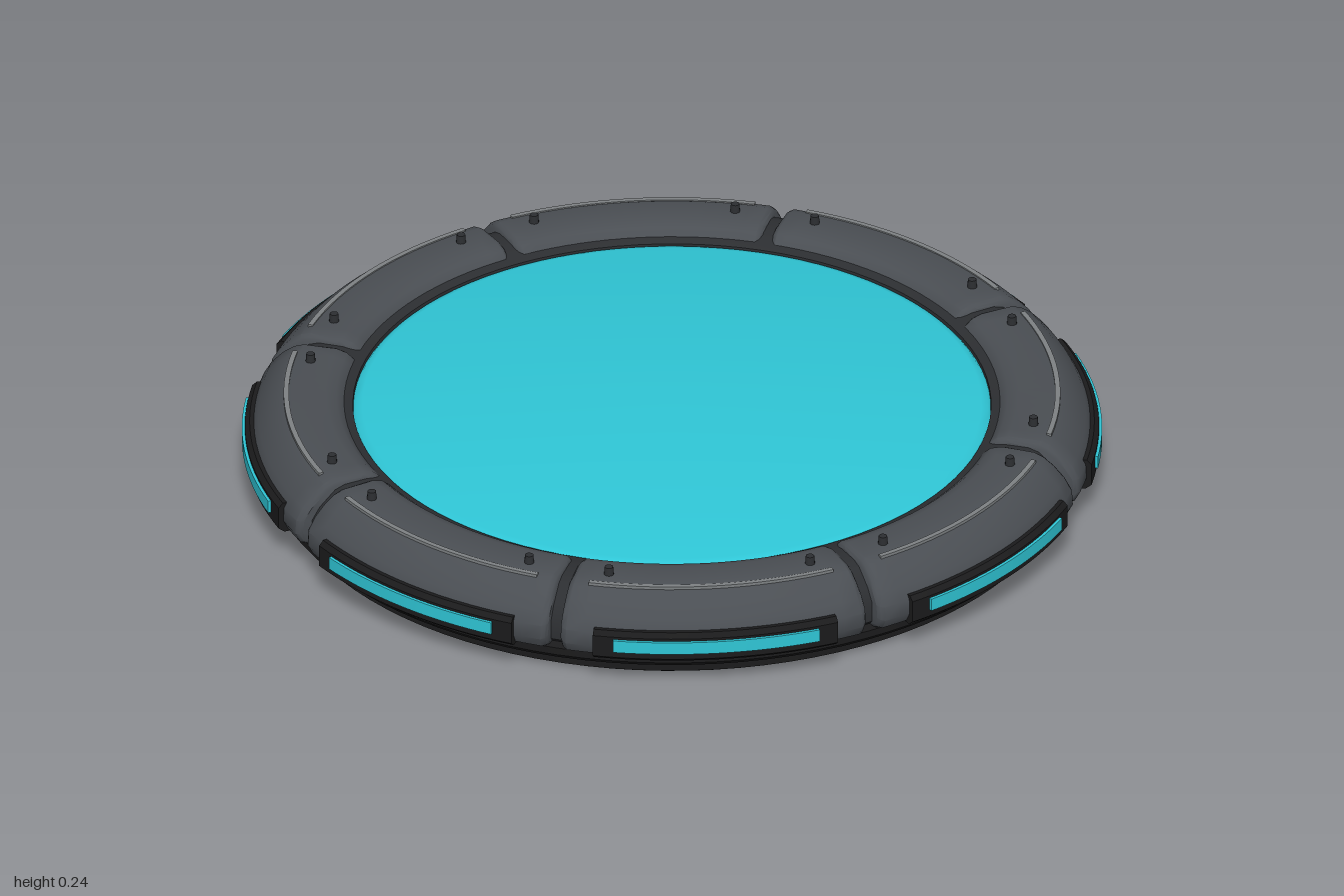
import * as THREE from 'three';
import { toCreasedNormals } from 'three/addons/utils/BufferGeometryUtils.js';

const mat = (name, color) => {
  const m = new THREE.MeshStandardMaterial({ color });
  m.name = name;
  return m;
};
const deg = THREE.MathUtils.degToRad;

// Sweeps a convex counterclockwise (radius, height) profile around y.
// Each station is [angle in degrees, inset towards the profile centre].
function sweep(profile, stations) {
  const n = profile.length, pos = [], idx = [];
  const cr = profile.reduce((s, p) => s + p[0], 0) / n;
  const cy = profile.reduce((s, p) => s + p[1], 0) / n;
  for (const [a, inset] of stations) {
    for (const [r, y] of profile) {
      const d = Math.hypot(r - cr, y - cy), k = 1 - inset / d;
      const rr = cr + (r - cr) * k;
      pos.push(rr * Math.sin(deg(a)), cy + (y - cy) * k, rr * Math.cos(deg(a)));
    }
  }
  const last = (stations.length - 1) * n;
  for (let s = 0; s < last; s += n) {
    for (let i = 0; i < n; i++) {
      const j = (i + 1) % n;
      idx.push(s + i, s + n + i, s + n + j, s + i, s + n + j, s + j);
    }
  }
  for (let i = 1; i < n - 1; i++) {
    idx.push(0, i, i + 1, last, last + i + 1, last + i);
  }
  const g = new THREE.BufferGeometry();
  g.setAttribute('position', new THREE.Float32BufferAttribute(pos, 3));
  g.setIndex(idx);
  return toCreasedNormals(g, deg(35));
}

// Evenly spaced stations across an arc of +-half degrees
const arc = (half, steps = 16) =>
  Array.from({ length: steps + 1 }, (_, i) => [-half + (2 * half * i) / steps, 0]);
const box = (r0, r1, y0, y1) => [[r0, y0], [r1, y0], [r1, y1], [r0, y1]];

const lathe = (pts) =>
  toCreasedNormals(new THREE.LatheGeometry(pts.map((p) => new THREE.Vector2(...p)), 96), deg(35));

export function createModel() {
  const root = new THREE.Group();
  root.name = 'roundPad';
  const black = mat('black base', 0x1b1b1c);
  const core = mat('dark core', 0x2c2e31);
  const grey = mat('grey armour', 0x4a4e53);
  const trim = mat('light grey trim', 0x7d8183);
  const cyan = mat('cyan glow', 0x2fc6d6);

  const add = (parent, name, geometry, material) => {
    const m = new THREE.Mesh(geometry, material);
    m.name = name;
    parent.add(m);
    return m;
  };

  // Stepped base, core ring seen in the gaps, and the glowing floor
  add(root, 'base', lathe([
    [0, 0], [0.905, 0], [0.915, 0.006], [0.915, 0.028], [0.94, 0.036],
    [0.948, 0.046], [0.948, 0.064], [0.935, 0.075], [0.7, 0.075],
  ]), black);
  add(root, 'coreRing', lathe([
    [0.93, 0.07], [0.945, 0.085], [0.945, 0.135], [0.925, 0.165], [0.885, 0.2],
    [0.86, 0.208], [0.8, 0.208], [0.765, 0.2], [0.742, 0.192], [0.738, 0.15],
  ]), core);
  add(root, 'floorDisc', lathe([
    [0.742, 0.16], [0.742, 0.182], [0.735, 0.19], [0.72, 0.194], [0, 0.194],
  ]), cyan);

  // Shared shapes for the eight ring segments
  const segmentGeo = sweep([
    [0.765, 0.07], [0.945, 0.064], [0.968, 0.075], [0.981, 0.1], [0.979, 0.135],
    [0.962, 0.165], [0.935, 0.195], [0.908, 0.215], [0.885, 0.223], [0.805, 0.223],
    [0.78, 0.215], [0.763, 0.2], [0.755, 0.18],
  ], [[-21.6, 0.014], [-21.3, 0.006], ...arc(20.7), [21.3, 0.006], [21.6, 0.014]]);
  const panelGeo = sweep([
    [0.955, 0.07], [0.978, 0.07], [0.993, 0.082], [0.993, 0.136], [0.982, 0.147], [0.955, 0.147],
  ], arc(16.8));
  const glowGeo = sweep(box(0.985, 1.0, 0.099, 0.13), arc(14));
  const trimGeo = sweep(box(0.891, 0.903, 0.205, 0.224), arc(18.5));
  const boltGeo = new THREE.CylinderGeometry(0.01, 0.012, 0.028, 12);

  for (let i = 0; i < 8; i++) {
    const seg = new THREE.Group();
    seg.name = 'ringSegment' + (i + 1);
    seg.rotation.y = (i * Math.PI) / 4;
    add(seg, 'armour', segmentGeo, grey);
    add(seg, 'sidePanel', panelGeo, black);
    add(seg, 'glowStrip', glowGeo, cyan);
    add(seg, 'topTrim', trimGeo, trim);
    for (const side of [-1, 1]) {
      const a = deg(16 * side);
      add(seg, 'bolt', boltGeo, core)
        .position.set(0.853 * Math.sin(a), 0.229, 0.853 * Math.cos(a));
    }
    root.add(seg);
  }
  return root;
}
